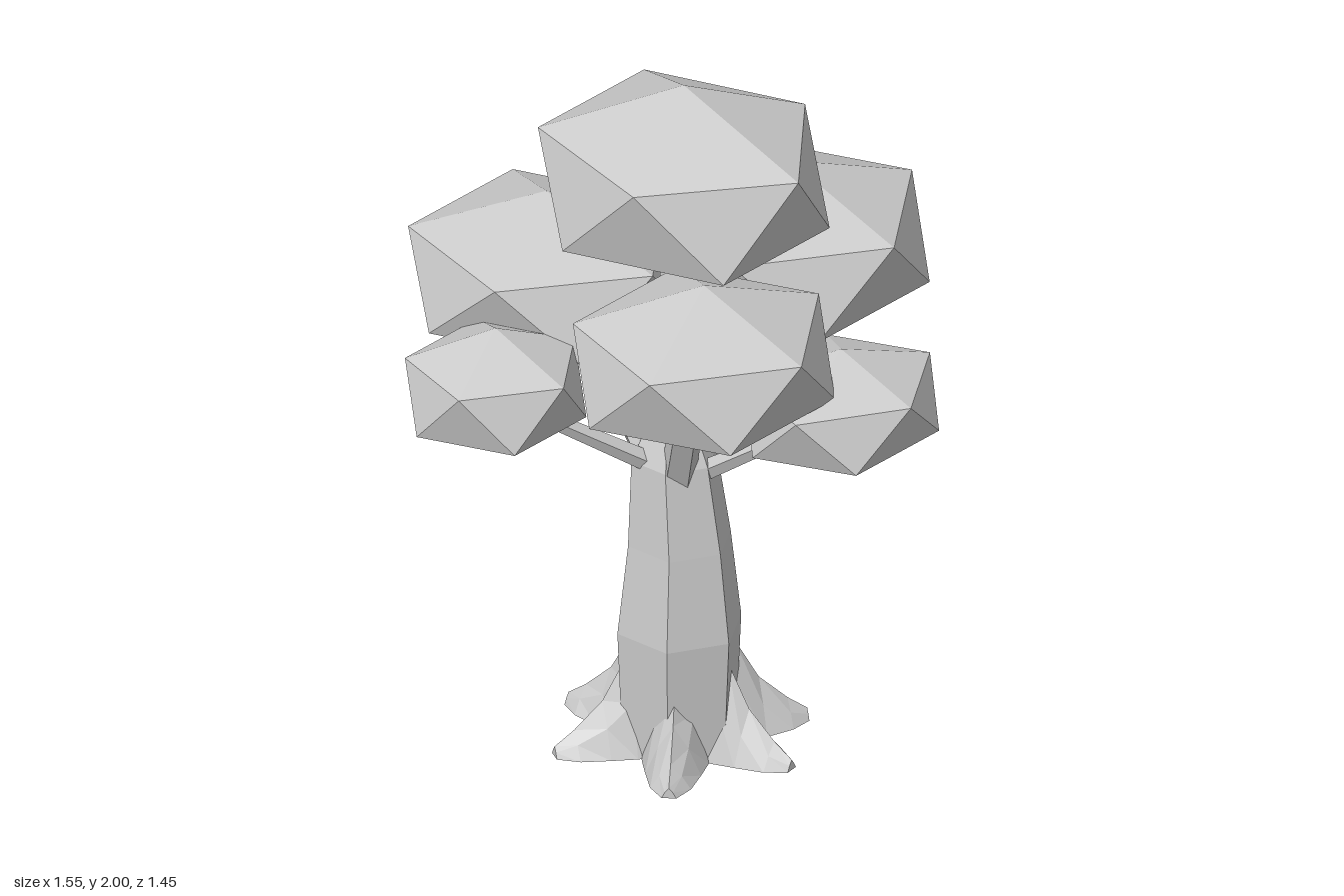
import * as THREE from 'three';

const material = new THREE.MeshStandardMaterial({ color: 0xcccccc, flatShading: true, side: THREE.DoubleSide });

function addMesh(parent, name, geometry) {
  const mesh = new THREE.Mesh(geometry, material);
  mesh.name = name;
  parent.add(mesh);
  return mesh;
}

// Skin a list of equal-length closed cross-sections, capping both ends.
function loft(rings) {
  const n = rings[0].length;
  const index = [];
  for (let i = 0; i < rings.length - 1; i++) {
    for (let j = 0; j < n; j++) {
      const a = i * n + j, b = i * n + (j + 1) % n;
      index.push(a, a + n, b, b, a + n, b + n);
    }
  }
  const last = (rings.length - 1) * n;
  for (let j = 1; j < n - 1; j++) {
    index.push(0, j, j + 1, last, last + j + 1, last + j);
  }
  const geometry = new THREE.BufferGeometry();
  geometry.setAttribute('position', new THREE.Float32BufferAttribute(rings.flat(2), 3));
  geometry.setIndex(index);
  const flat = geometry.toNonIndexed();
  flat.computeVertexNormals();
  return flat;
}

// Tapered limb between two points.
function limb(start, end, r0, r1) {
  const a = new THREE.Vector3(...start), b = new THREE.Vector3(...end);
  const dir = b.clone().sub(a);
  const geometry = new THREE.CylinderGeometry(r1, r0, dir.length(), 5);
  geometry.applyQuaternion(new THREE.Quaternion().setFromUnitVectors(
    new THREE.Vector3(0, 1, 0), dir.clone().normalize()));
  const mid = a.add(b).multiplyScalar(0.5);
  return geometry.translate(mid.x, mid.y, mid.z);
}

// Squashed icosahedron standing on a vertex.
function leafClump(rx, ry, rz) {
  const geometry = new THREE.IcosahedronGeometry(1, 0);
  geometry.rotateZ(-Math.atan(2 / (1 + Math.sqrt(5))));
  geometry.scale(rx, ry, rz);
  geometry.computeVertexNormals();
  return geometry;
}

// Root spreading along +x: triangular sections shrinking toward the tip.
function root() {
  const stations = [ // distance, half width, height
    [0.06, 0.10, 0.36], [0.15, 0.09, 0.27], [0.22, 0.075, 0.145], [0.30, 0.055, 0.07], [0.355, 0.02, 0.03],
  ];
  return loft(stations.map(([x, w, h]) => [
    [x, 0, w], [x, h * 0.55, w * 0.55], [x, h, 0], [x, h * 0.55, -w * 0.55], [x, 0, -w],
  ]));
}

export function createModel() {
  const tree = new THREE.Group();
  tree.name = 'tree';

  // Six-sided trunk, narrowing into the leader that carries the crown
  const trunk = [ // y, radius, centre x, centre z
    [0, 0.16, 0.03, 0.03], [0.36, 0.175, 0.035, 0.035], [0.62, 0.145, 0.035, 0.035],
    [0.87, 0.12, 0.02, 0.04], [0.95, 0.085, 0.02, 0.04], [1.25, 0.06, 0.035, 0.04], [1.52, 0.05, 0.04, 0.04],
  ];
  addMesh(tree, 'trunk', loft(trunk.map(([y, r, cx, cz]) =>
    Array.from({ length: 6 }, (_, k) => {
      const a = k * Math.PI / 3;
      return [cx + r * Math.cos(a), y, cz - r * Math.sin(a)];
    }))));

  // Roots around the base
  const roots = new THREE.Group();
  roots.name = 'roots';
  tree.add(roots);
  for (const degrees of [-120, -54, 8, 58, 107, -172]) {
    const mesh = addMesh(roots, 'root', root());
    mesh.rotation.y = THREE.MathUtils.degToRad(degrees);
    mesh.position.set(0.012, 0, 0.005);
  }

  // Branches: start, end, start radius, end radius
  const branches = new THREE.Group();
  branches.name = 'branches';
  tree.add(branches);
  for (const args of [
    [[0.07, 0.84, 0.08], [0.25, 1.28, 0.22], 0.05, 0.045],
    [[0.04, 0.86, -0.01], [0.08, 1.28, -0.27], 0.055, 0.045],
    [[-0.04, 0.82, 0.05], [-0.30, 1.24, 0.08], 0.045, 0.035],
    [[0.09, 0.83, 0.02], [0.45, 1.08, -0.04], 0.03, 0.02],
    [[0.00, 0.86, 0.10], [-0.19, 1.10, 0.43], 0.03, 0.02],
    [[-0.03, 0.84, 0.00], [-0.28, 1.09, -0.28], 0.03, 0.02],
  ]) addMesh(branches, 'branch', limb(...args));

  // Leaf clumps: centre, radii
  const foliage = new THREE.Group();
  foliage.name = 'foliage';
  tree.add(foliage);
  for (const [name, centre, radii] of [
    ['crownClump', [0.055, 1.72, 0.04], [0.453, 0.28, 0.412]],
    ['backClump', [0.085, 1.375, -0.36], [0.41, 0.245, 0.43]],
    ['rightClump', [-0.40, 1.305, 0.075], [0.42, 0.23, 0.406]],
    ['frontClump', [0.33, 1.355, 0.275], [0.385, 0.23, 0.406]],
    ['smallLeftClump', [0.525, 1.155, -0.06], [0.275, 0.17, 0.322]],
    ['smallFrontClump', [-0.22, 1.17, 0.49], [0.268, 0.18, 0.278]],
    ['smallBackClump', [-0.315, 1.15, -0.315], [0.275, 0.175, 0.278]],
  ]) addMesh(foliage, name, leafClump(...radii)).position.set(...centre);

  return tree;
}
